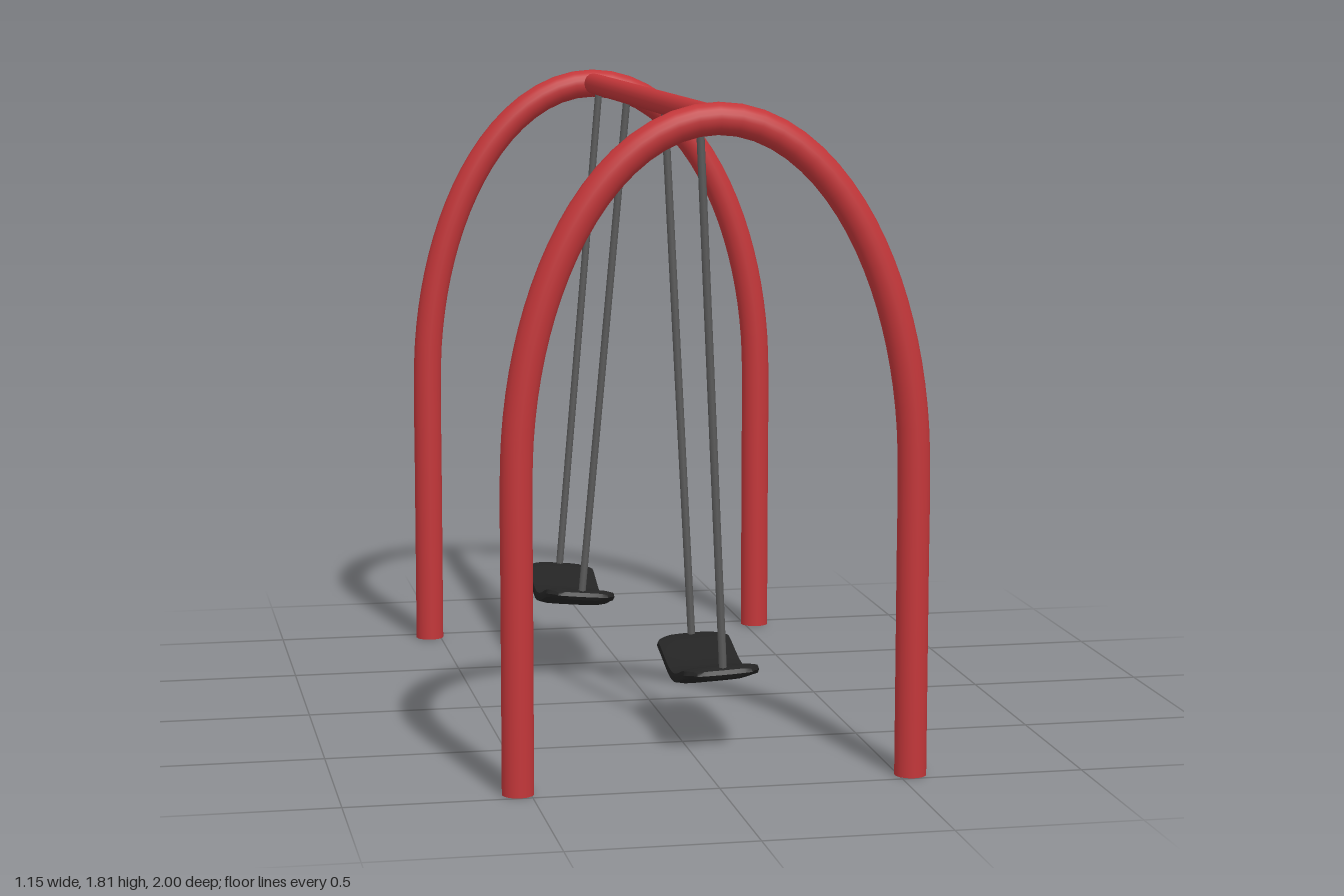
import * as THREE from 'three';
import { toCreasedNormals } from 'three/addons/utils/BufferGeometryUtils.js';

const red = new THREE.MeshStandardMaterial({ color: 0xc23639 });
red.name = 'red paint';
const grey = new THREE.MeshStandardMaterial({ color: 0x5a5a5a });
grey.name = 'grey rope';
const black = new THREE.MeshStandardMaterial({ color: 0x242424 });
black.name = 'black rubber';

const BAR_Y = 1.767, ARCH_Z = 0.957, ARCH_R = 0.043, HALF_SPAN = 0.533, SPRING_Y = 0.83;

function addMesh(parent, name, geometry, material) {
  const mesh = new THREE.Mesh(geometry, material);
  mesh.name = name;
  parent.add(mesh);
  return mesh;
}

// straight cylinder between two points
function rod(a, b, radius, sides) {
  return new THREE.TubeGeometry(new THREE.LineCurve3(a, b), 1, radius, sides);
}

// arched end frame: two straight legs joined by a half ellipse
function makeArch(name, z) {
  const arch = new THREE.Group();
  arch.name = name;
  const points = [0, 0.28, 0.56].map((y) => new THREE.Vector3(HALF_SPAN, y, 0));
  for (let i = 0; i <= 24; i++) {
    const a = (Math.PI * i) / 24;
    points.push(new THREE.Vector3(HALF_SPAN * Math.cos(a), SPRING_Y + (BAR_Y - SPRING_Y) * Math.sin(a), 0));
  }
  for (const y of [0.56, 0.28, 0]) points.push(new THREE.Vector3(-HALF_SPAN, y, 0));
  const path = new THREE.CatmullRomCurve3(points);
  addMesh(arch, 'archTube', new THREE.TubeGeometry(path, 72, ARCH_R, 20), red);
  for (const side of [-1, 1]) {
    const foot = addMesh(arch, 'legEnd', new THREE.CircleGeometry(ARCH_R, 20), red);
    foot.rotation.x = Math.PI / 2;
    foot.position.x = side * HALF_SPAN;
  }
  arch.position.z = z;
  return arch;
}

// sagging seat: a box with softened edges, narrowed ends and a dip in the middle
function seatGeometry() {
  const halfW = 0.106, halfL = 0.246;
  const geo = new THREE.BoxGeometry(2 * halfW, 0.038, 2 * halfL, 8, 2, 28);
  const p = geo.attributes.position;
  for (let i = 0; i < p.count; i++) {
    const u = p.getX(i) / halfW, v = p.getZ(i) / halfL;
    const end = THREE.MathUtils.smoothstep(Math.abs(v), 0.78, 1);
    const thin = (1 - 0.35 * u ** 6) * (1 - 0.4 * v ** 8);
    const rim = Math.abs(p.getY(i)) > 0.01 ? 0.97 : 1;
    const sag = 0.025 * (1 - Math.cos(Math.PI * Math.min(1, Math.abs(v))));
    p.setXYZ(i, p.getX(i) * (1 - 0.27 * end) * rim, p.getY(i) * thin + sag, p.getZ(i) * rim * (1 - 0.02 * u * u * end));
  }
  return toCreasedNormals(geo, 0.7);
}

// one swing hanging from the bar, swung sideways by an angle
function makeSwing(name, z, angle) {
  const swing = new THREE.Group();
  swing.name = name;
  for (const side of [-1, 1]) {
    const top = new THREE.Vector3(0, 0, side * 0.242);
    const bottom = new THREE.Vector3(0, -1.535, side * 0.214);
    addMesh(swing, 'rope', rod(top, bottom, 0.011, 8), grey);
  }
  addMesh(swing, 'seat', seatGeometry(), black).position.y = -1.58;
  swing.position.set(0, BAR_Y, z);
  swing.rotation.z = angle;
  return swing;
}

export function createModel() {
  const model = new THREE.Group();
  model.name = 'swingSet';
  model.add(makeArch('frontArch', ARCH_Z), makeArch('backArch', -ARCH_Z));
  const bar = rod(new THREE.Vector3(0, BAR_Y, -ARCH_Z), new THREE.Vector3(0, BAR_Y, ARCH_Z), 0.032, 16);
  addMesh(model, 'topBar', bar, red);
  model.add(makeSwing('frontSwing', 0.475, 0.049), makeSwing('backSwing', -0.583, -0.09));
  return model;
}
